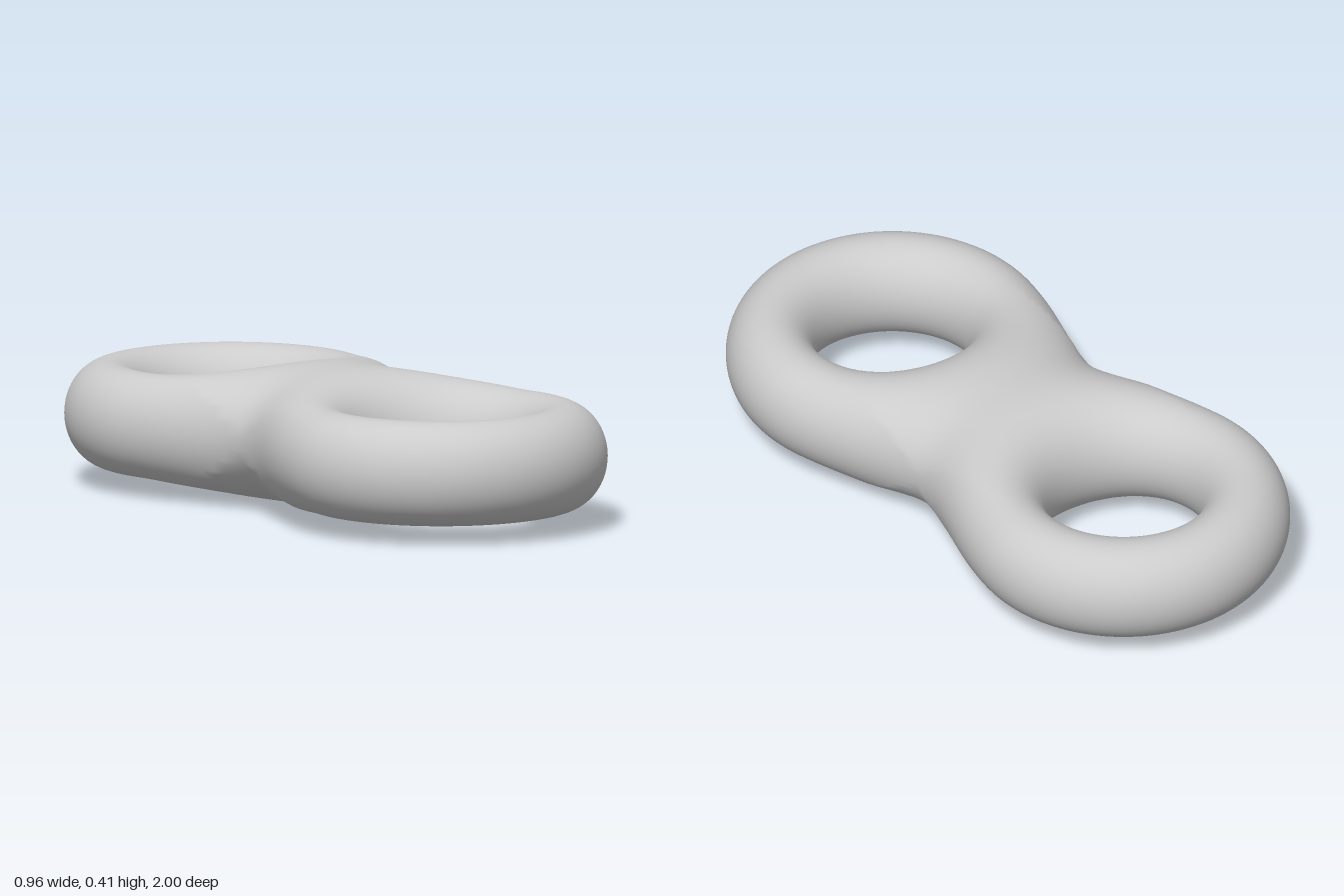
import * as THREE from 'three';
import { mergeGeometries } from 'three/addons/utils/BufferGeometryUtils.js';

const CENTRE = 0.52;   // ring centres at z = +-CENTRE
const RING = 0.352;    // ring radius
const TUBE = 0.128;    // tube half width
const TUBE_H = 0.152;  // tube half height
const MID_Y = 0.207;   // height of the mid plane

// Signed field of one ring with an elliptical tube
const ringField = (x, y, z) =>
  Math.hypot(Math.hypot(x, z) - RING, y * TUBE / TUBE_H) - TUBE;

// Two rings melted together; the blend is a little wider at the waist
function field(x, y, z) {
  const a = ringField(x, y, z - CENTRE);
  const b = ringField(x, y, z + CENTRE);
  const k = 0.45 + 0.13 * Math.min(1, (x / 0.345) ** 2);
  const h = Math.max(0, k - Math.abs(a - b)) / k;
  return Math.min(a, b) - h * h * k / 4;
}

// Surface crossing between an inside and an outside parameter
function crossing(f, inside, outside) {
  for (let i = 0; i < 45; i++) {
    const m = (inside + outside) / 2;
    if (f(m) < 0) inside = m; else outside = m;
  }
  return inside;
}

function normalAt(x, y, z) {
  const e = 1e-4;
  return new THREE.Vector3(
    field(x + e, y, z) - field(x - e, y, z),
    field(x, y + e, z) - field(x, y - e, z),
    field(x, y, z + e) - field(x, y, z - e)
  ).normalize();
}

// Steps packed towards both ends, from 0 to 1
const ease = t => (1 - Math.cos(Math.PI * t)) / 2;

// Angles around the hole, with samples exactly on the waist corners
function ringAngles() {
  const waist = crossing(x => field(x, 0, 0), 0, 0.6);
  const corner = Math.atan2(waist, CENTRE);
  const angles = [];
  for (let i = 0; i < 28; i++) angles.push(-corner + 2 * corner * ease(i / 28));
  for (let i = 0; i <= 80; i++) angles.push(corner + (2 * Math.PI - 2 * corner) * i / 80);
  return angles;
}

// One quarter of the surface (upper side of one ring), mirrored by sy and sz
function quarter(angles, sy, sz) {
  const steps = 28, pos = [], nor = [], index = [];
  for (const angle of angles) {
    const s = Math.sin(angle), c = Math.cos(angle);
    const along = r => field(r * s, 0, CENTRE - r * c);
    const limit = c > 0.01 ? Math.min(1, CENTRE / c) : 1;
    const inner = crossing(along, RING, 0);
    const outer = crossing(along, RING, limit);
    for (let j = 0; j <= steps; j++) {
      const r = inner + (outer - inner) * ease(j / steps);
      const x = r * s, z = CENTRE - r * c;
      const y = crossing(h => field(x, h, z), 0, 0.35);
      const n = normalAt(x, y, z);
      pos.push(x, MID_Y + sy * y, sz * z);
      nor.push(n.x, sy * n.y, sz * n.z);
    }
  }
  const row = steps + 1;
  for (let i = 0; i < angles.length - 1; i++) {
    for (let j = 0; j < steps; j++) {
      const a = i * row + j, b = a + row;
      if (sy * sz > 0) index.push(a, b, a + 1, b, b + 1, a + 1);
      else index.push(a, a + 1, b, b, a + 1, b + 1);
    }
  }
  const g = new THREE.BufferGeometry();
  g.setAttribute('position', new THREE.Float32BufferAttribute(pos, 3));
  g.setAttribute('normal', new THREE.Float32BufferAttribute(nor, 3));
  g.setIndex(index);
  return g;
}

export function createModel() {
  const group = new THREE.Group();
  group.name = 'doubleRing';
  const angles = ringAngles();
  const parts = [];
  for (const sy of [1, -1]) for (const sz of [1, -1]) parts.push(quarter(angles, sy, sz));
  const body = new THREE.Mesh(
    mergeGeometries(parts),
    new THREE.MeshStandardMaterial({ color: 0xcccccc })
  );
  body.name = 'doubleTorusBody';
  group.add(body);
  return group;
}
